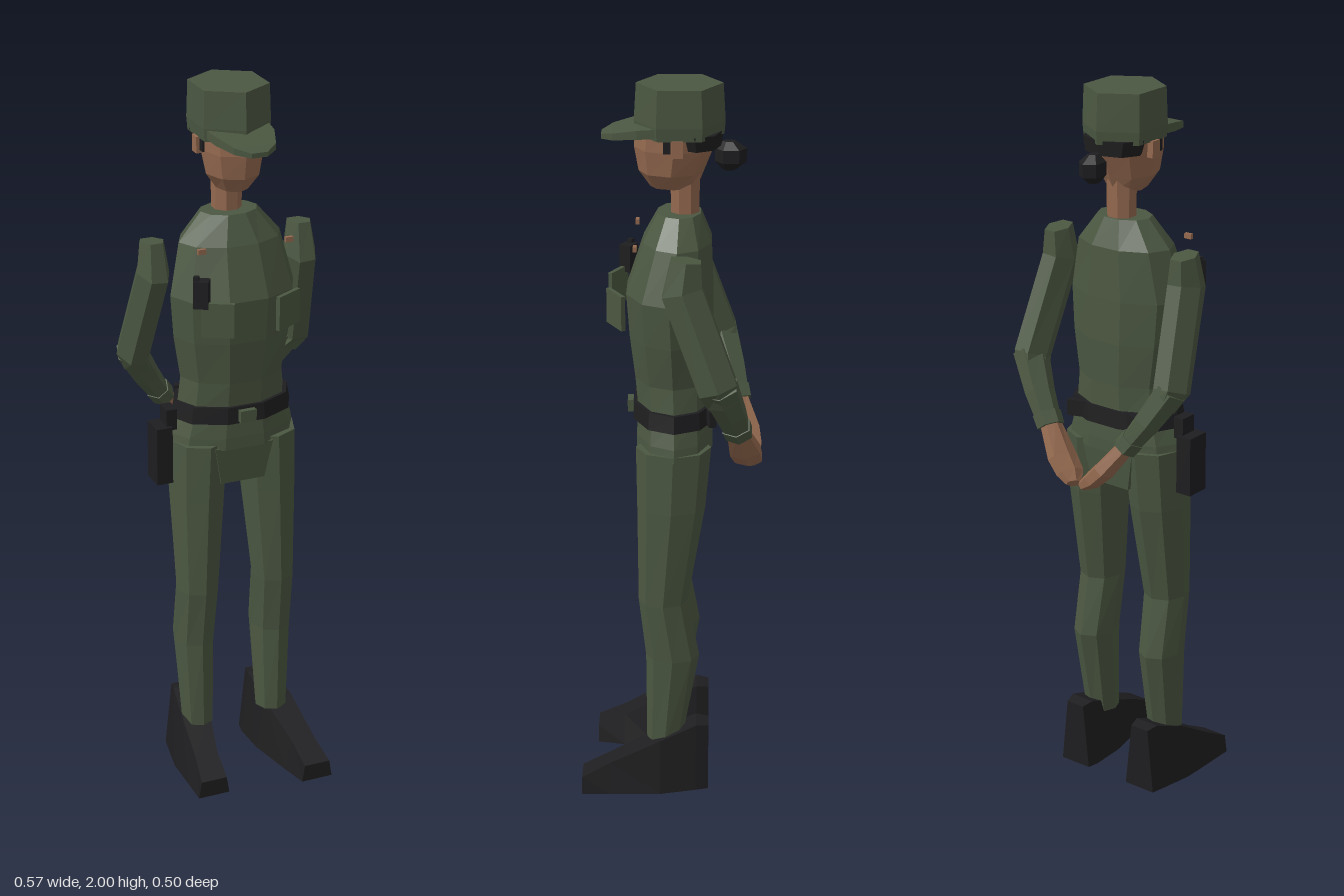
import * as THREE from 'three';

const mat = (name, color) => {
  const m = new THREE.MeshStandardMaterial({ color });
  m.name = name;
  return m;
};

// Closed skin through rings of equal point count, each ring clockwise seen from its far end
function loft(rings) {
  const pos = [];
  const tri = (a, b, c) => pos.push(...a, ...b, ...c);
  const n = rings[0].length;
  const mid = r => [0, 1, 2].map(k => r.reduce((s, p) => s + p[k], 0) / n);
  const last = rings[rings.length - 1];
  for (let i = 0; i < n; i++) {
    const j = (i + 1) % n;
    for (let k = 0; k < rings.length - 1; k++) {
      const a = rings[k], b = rings[k + 1];
      tri(b[i], b[j], a[j]);
      tri(b[i], a[j], a[i]);
    }
    tri(mid(rings[0]), rings[0][i], rings[0][j]);
    tri(mid(last), last[j], last[i]);
  }
  const g = new THREE.BufferGeometry();
  g.setAttribute('position', new THREE.Float32BufferAttribute(pos, 3));
  g.computeVertexNormals();
  return g;
}

// Polygonal tube down a path of [x, y, z, radiusAcross, radiusDepth]; level keeps rings horizontal
function limb(path, n, phase = 0, level = true) {
  const P = path.map(p => new THREE.Vector3(p[0], p[1], p[2]));
  return loft(path.map((p, k) => {
    const d = new THREE.Vector3(0, -1, 0);
    if (!level) d.subVectors(P[Math.min(k + 1, P.length - 1)], P[Math.max(k - 1, 0)]).normalize();
    const u = new THREE.Vector3().crossVectors(d, new THREE.Vector3(0, 0, 1)).normalize();
    const v = new THREE.Vector3().crossVectors(u, d);
    return Array.from({ length: n }, (_, i) => {
      const a = phase + (i / n) * Math.PI * 2;
      return P[k].clone().addScaledVector(u, Math.cos(a) * p[3]).addScaledVector(v, Math.sin(a) * p[4]).toArray();
    });
  }));
}

// Four-cornered section at depth z, with the top edge drawn in by inset
const slab = (z, x0, x1, y0, y1, inset = 0) =>
  [[x0, y0, z], [x0 + inset, y1, z], [x1 - inset, y1, z], [x1, y0, z]];

export function createModel() {
  const green = mat('uniformGreen', 0x4b5741);
  const skin = mat('skin', 0x94694f);
  const black = mat('blackLeather', 0x1e1e20);

  const model = new THREE.Group();
  model.name = 'officer';
  const add = (name, geo, material, x = 0, y = 0, z = 0, ry = 0) => {
    const m = new THREE.Mesh(geo.index ? geo.toNonIndexed() : geo, material);
    m.geometry.computeVertexNormals();
    m.name = name;
    m.position.set(x, y, z);
    m.rotation.y = ry;
    model.add(m);
  };
  const box = (w, h, d) => new THREE.BoxGeometry(w, h, d);

  // Shirt
  add('shirt', limb([
    [0, 1.655, -0.02, 0.08, 0.06], [0, 1.58, -0.015, 0.145, 0.095],
    [0, 1.44, 0.005, 0.178, 0.122], [0, 1.32, 0, 0.168, 0.118],
    [0, 1.2, -0.005, 0.148, 0.108], [0, 1.11, -0.008, 0.158, 0.103],
    [0, 1.04, -0.008, 0.18, 0.108], [0, 1.005, -0.008, 0.186, 0.108],
  ], 10), green);
  add('pelvis', limb([
    [0, 1.01, -0.005, 0.12, 0.135], [0, 0.9, -0.005, 0.09, 0.12],
  ], 4, Math.PI / 4), green);

  // Belt, buckle and gear
  add('belt', limb([
    [0, 1.132, -0.008, 0.168, 0.114], [0, 1.085, -0.008, 0.176, 0.118],
  ], 10), black);
  add('buckle', box(0.046, 0.034, 0.016), green, 0, 1.108, 0.112);
  add('holster', box(0.046, 0.165, 0.07), black, -0.21, 0.99, 0.0);
  add('holsterStrap', box(0.03, 0.06, 0.05), black, -0.185, 1.09, 0.0);
  add('radio', box(0.04, 0.075, 0.035), black, -0.135, 1.482, 0.12, -0.55);
  add('radioAntenna', box(0.014, 0.03, 0.014), black, -0.148, 1.515, 0.115, -0.55);

  // Neck and head
  add('neck', limb([
    [0, 1.76, -0.035, 0.042, 0.042], [0, 1.63, -0.035, 0.04, 0.04],
  ], 8, Math.PI / 8), skin);
  add('head', limb([
    [0, 1.89, -0.015, 0.088, 0.11], [0, 1.83, -0.005, 0.085, 0.105],
    [0, 1.765, 0.002, 0.073, 0.086], [0, 1.722, -0.005, 0.042, 0.062],
  ], 8), skin);
  add('hair', limb([
    [0, 1.875, -0.06, 0.094, 0.074], [0, 1.835, -0.065, 0.085, 0.066],
  ], 8), black);
  add('hairBun', limb([
    [0, 1.845, -0.15, 0.014, 0.018], [0, 1.825, -0.155, 0.033, 0.042],
    [0, 1.79, -0.155, 0.033, 0.042], [0, 1.768, -0.15, 0.014, 0.018],
  ], 6, Math.PI / 2), black);

  // Cap with visor
  add('cap', limb([
    [0, 2.0, -0.02, 0.106, 0.114], [0, 1.9, -0.02, 0.109, 0.12],
    [0, 1.865, -0.02, 0.106, 0.117],
  ], 6, Math.PI / 2), green);
  add('visor', loft([
    slab(0.03, -0.088, 0.088, 1.873, 1.897), slab(0.09, -0.082, 0.082, 1.868, 1.892),
    slab(0.155, -0.058, 0.058, 1.86, 1.878), slab(0.185, -0.022, 0.022, 1.855, 1.868),
  ]), green);

  for (const s of [1, -1]) {
    const side = s > 0 ? 'left' : 'right';
    const flip = path => path.map(p => [s * p[0], ...p.slice(1)]);

    add(side + 'Ear', box(0.018, 0.045, 0.03), skin, s * 0.09, 1.845, -0.015);
    add(side + 'SideHair', box(0.006, 0.035, 0.02), black, s * 0.088, 1.85, 0.012);

    // Sleeves bent behind the back
    add(side + 'UpperSleeve', limb(flip([
      [0.212, 1.585, -0.04, 0.034, 0.045], [0.212, 1.5, -0.03, 0.046, 0.062],
      [0.238, 1.24, -0.125, 0.047, 0.06], [0.222, 1.2, -0.14, 0.038, 0.05],
    ]), 6, 0, false), green);
    add(side + 'Forearm', limb(flip([
      [0.242, 1.245, -0.128, 0.043, 0.054], [0.185, 1.15, -0.16, 0.037, 0.045],
      [0.14, 1.085, -0.178, 0.03, 0.038],
    ]), 6, 0, false), green);
    add(side + 'Cuff', limb(flip([
      [0.15, 1.1, -0.174, 0.035, 0.043], [0.128, 1.07, -0.183, 0.034, 0.041],
    ]), 6, 0, false), green);

    // Hands meeting at the back
    add(side + 'Hand', limb(flip([
      [0.135, 1.08, -0.178, 0.024, 0.032], [0.075, 1.0, -0.2, 0.028, 0.048],
      [0.04, 0.965, -0.21, 0.025, 0.044], [0.014, 0.945, -0.225, 0.014, 0.025],
    ]), 6, 0, false), skin);

    // Chest pocket and shoulder pin
    add(side + 'Pocket', box(0.088, 0.095, 0.012), green, s * 0.1, 1.412, 0.147, s * 0.5);
    add(side + 'ShoulderPin', box(0.022, 0.014, 0.01), skin, s * 0.124, 1.588, 0.095);
    add(side + 'BeltPouch', box(0.05, 0.045, 0.02), black, s * 0.1, 1.108, -0.105, s * 0.3);

    // Trouser leg
    add(side + 'TrouserLeg', limb(flip([
      [0.1, 1.02, -0.006, 0.084, 0.102], [0.106, 0.85, 0, 0.078, 0.093],
      [0.114, 0.57, 0.022, 0.061, 0.068], [0.117, 0.4, -0.004, 0.057, 0.074],
      [0.114, 0.14, 0.018, 0.046, 0.05],
    ]), 8), green);
  }

  // Boots, the left one set slightly further forward
  add('leftBoot', loft([
    slab(-0.105, 0.068, 0.165, 0, 0.19, 0.02), slab(-0.07, 0.062, 0.175, 0, 0.195, 0.02),
    slab(0.03, 0.066, 0.2, 0, 0.155, 0.025), slab(0.17, 0.095, 0.204, 0, 0.09, 0.02),
    slab(0.25, 0.113, 0.205, 0, 0.05, 0.008),
  ]), black);
  add('rightBoot', loft([
    slab(-0.105, -0.165, -0.068, 0, 0.19, 0.02), slab(-0.07, -0.172, -0.06, 0, 0.195, 0.02),
    slab(0.03, -0.19, -0.056, 0, 0.155, 0.025), slab(0.14, -0.19, -0.083, 0, 0.09, 0.02),
    slab(0.216, -0.19, -0.098, 0, 0.05, 0.008),
  ]), black);

  return model;
}
